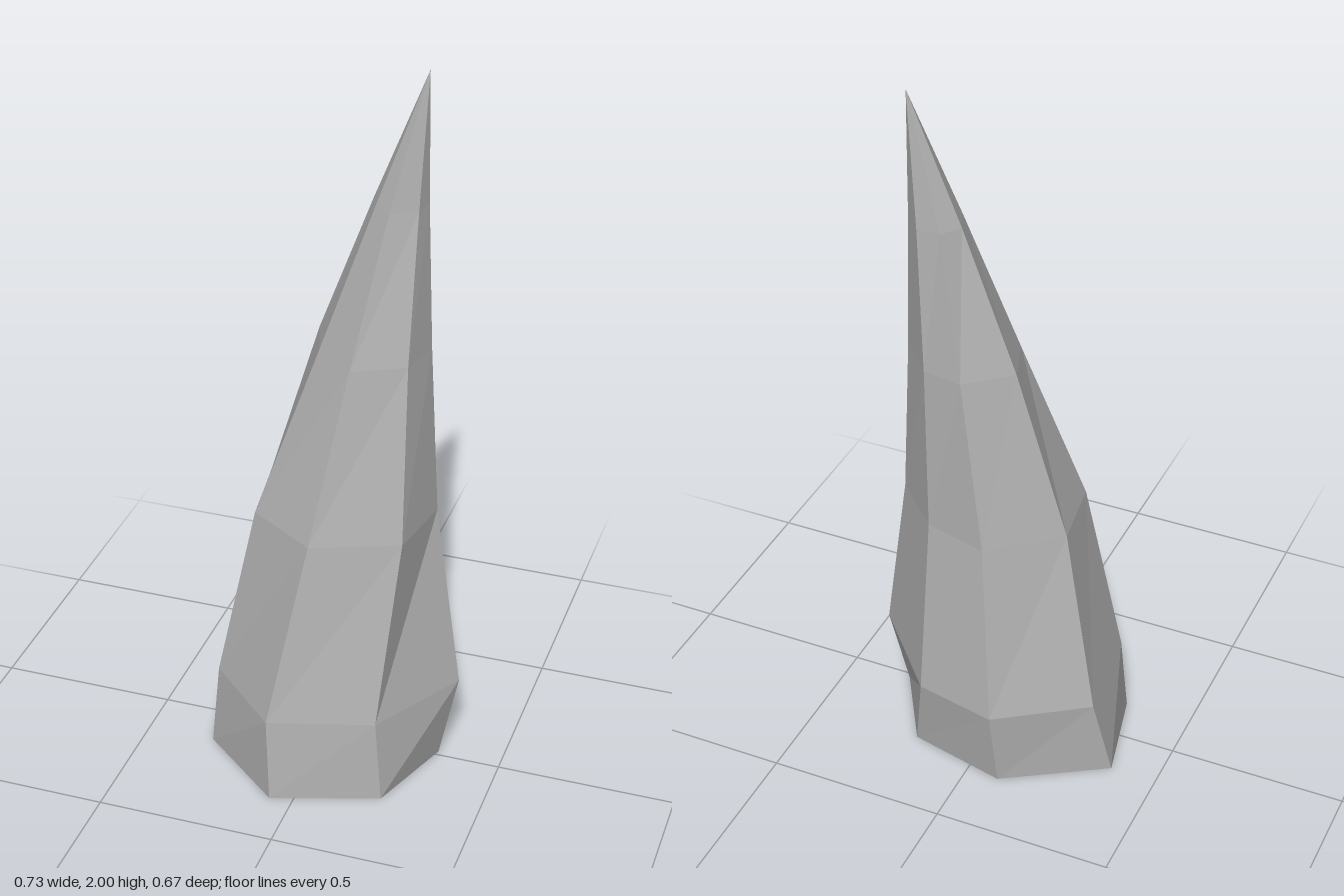
import * as THREE from 'three';

// Seven-sided cross-sections of the leaning spike: height, then [x, z] corners
const rings = [
  { y: 0, p: [[-0.368, -0.136], [-0.307, 0.134], [-0.065, 0.334], [0.228, 0.239], [0.32, -0.015], [0.186, -0.241], [-0.094, -0.306]] },
  { y: 0.24, p: [[-0.323, -0.172], [-0.29, 0.116], [-0.079, 0.315], [0.207, 0.23], [0.366, -0.042], [0.147, -0.287], [-0.083, -0.336]] },
  { y: 0.76, p: [[-0.215, -0.12], [-0.185, 0.085], [0.008, 0.209], [0.242, 0.12], [0.279, -0.085], [0.142, -0.223], [-0.036, -0.27]] },
  { y: 1.24, p: [[-0.071, -0.126], [-0.03, -0.002], [0.083, 0.089], [0.22, 0.02], [0.248, -0.104], [0.152, -0.21], [0.041, -0.227]] },
  { y: 1.64, p: [[0.077, -0.128], [0.098, -0.072], [0.146, -0.035], [0.213, -0.077], [0.226, -0.128], [0.178, -0.18], [0.112, -0.181]] },
];
const tip = [0.217, 2, -0.14];

function spikeGeometry() {
  const sides = rings[0].p.length;
  const out = [];
  const at = (r, i) => {
    const [x, z] = rings[r].p[i % sides];
    return [x, rings[r].y, z];
  };
  const tri = (a, b, c) => out.push(...a, ...b, ...c);
  const top = rings.length - 1;

  for (let i = 0; i < sides; i++) {
    // Facets between neighbouring rings
    for (let r = 0; r < top; r++) {
      tri(at(r, i), at(r, i + 1), at(r + 1, i + 1));
      tri(at(r, i), at(r + 1, i + 1), at(r + 1, i));
    }
    // Pointed end and flat base
    tri(at(top, i), at(top, i + 1), tip);
    tri([0, 0, 0], at(0, i + 1), at(0, i));
  }

  const geometry = new THREE.BufferGeometry();
  geometry.setAttribute('position', new THREE.Float32BufferAttribute(out, 3));
  geometry.computeVertexNormals();
  return geometry;
}

export function createModel() {
  const stone = new THREE.MeshStandardMaterial({ color: 0xb0b0b0 });
  stone.name = 'grey stone';
  stone.flatShading = true;

  const group = new THREE.Group();
  group.name = 'stoneSpike';
  const spike = new THREE.Mesh(spikeGeometry(), stone);
  spike.name = 'spike';
  group.add(spike);
  return group;
}
